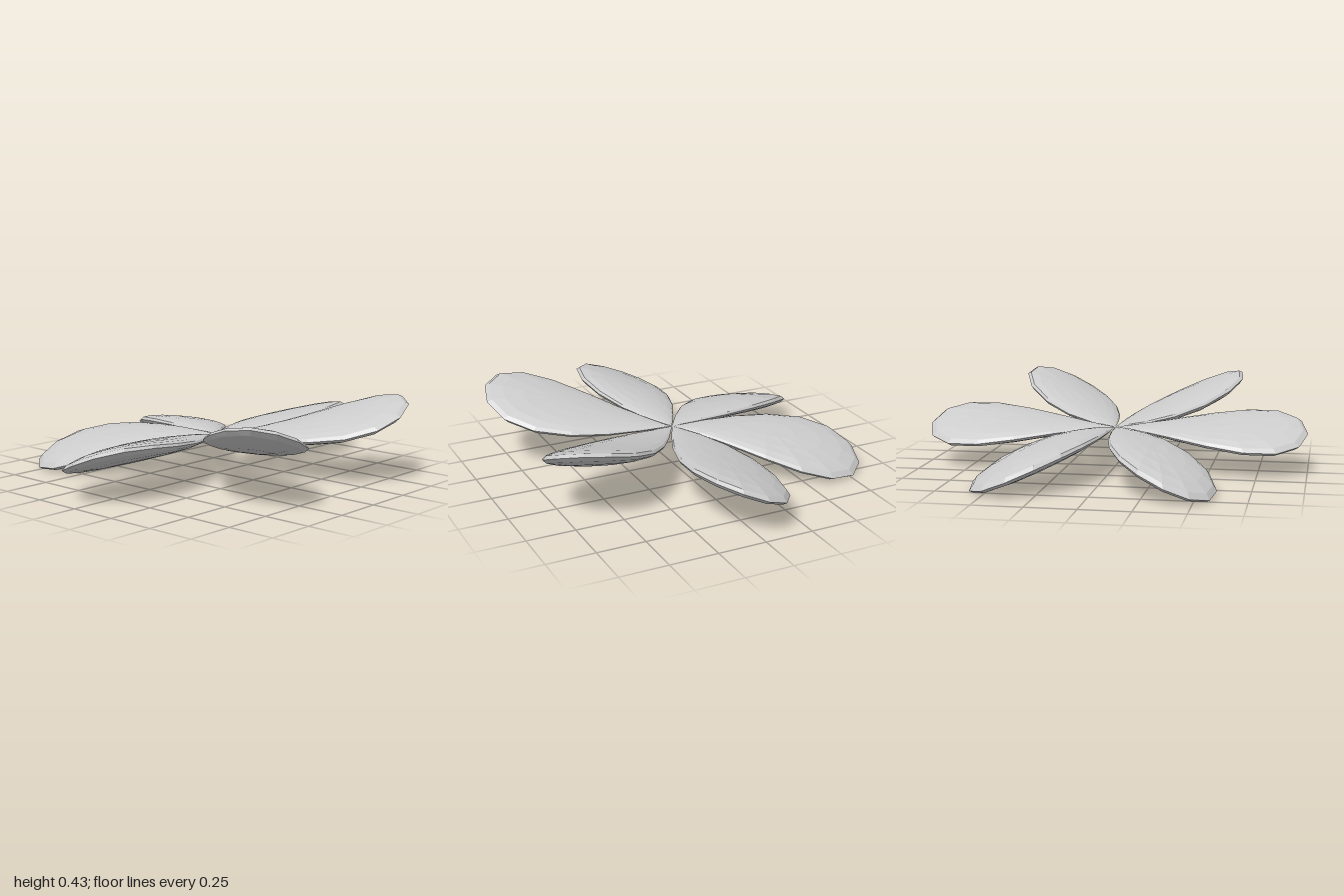
import * as THREE from 'three';

const rad = THREE.MathUtils.degToRad;

// Petal: a flattened low-poly sphere pinched to a point at the origin, turned to its angle.
// It lifts along x and along z by the given slopes, twisting more towards the tip.
function petalGeometry(angle, length, slopeX, slopeZ) {
  const geo = new THREE.SphereGeometry(1, 16, 10);
  const pos = geo.attributes.position;
  const c = Math.cos(rad(angle));
  const s = Math.sin(rad(angle));
  for (let i = 0; i < pos.count; i++) {
    const u = Math.max(0, (1 + pos.getX(i)) / 2);
    const along = u * length;
    const across = pos.getZ(i) * 0.312 * u ** 0.55;
    const x = along * c - across * s;
    const z = along * s + across * c;
    const y = pos.getY(i) * 0.066 * u ** 0.5 + u * (slopeX * x + slopeZ * z);
    pos.setXYZ(i, x, y, z);
  }
  geo.computeVertexNormals();
  return geo;
}

export function createModel() {
  const model = new THREE.Group();
  model.name = 'flower';
  const material = new THREE.MeshStandardMaterial({ color: 0xcccccc, flatShading: true });

  function addPetal(name, ...shape) {
    const petal = new THREE.Mesh(petalGeometry(...shape), material);
    petal.name = name;
    petal.position.y = 0.212;
    model.add(petal);
  }

  // Mirrored front and back: left petals rise outward, right petals sink outward
  for (const s of [1, -1]) {
    const side = s > 0 ? 'front' : 'back';
    addPetal(side + 'LeftPetal', s * 32, 0.99, 0, s * 0.36);
    addPetal(side + 'RightPetal', s * 150, 0.985, 0, s * -0.36);
    addPetal(side + 'Petal', s * 90.8, 1, 0.42, 0);
  }
  return model;
}
